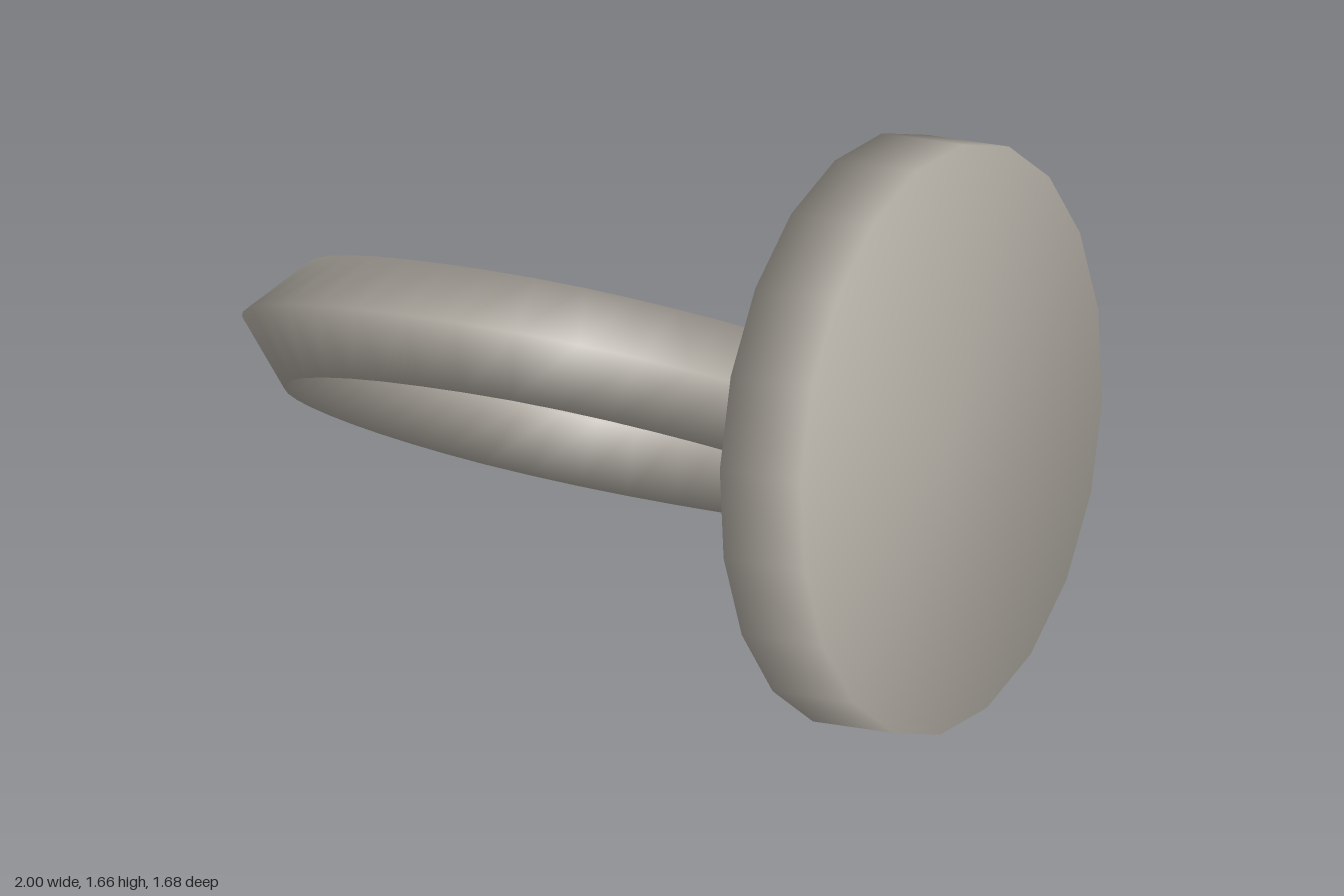
import * as THREE from 'three';
import { mergeVertices } from 'three/addons/utils/BufferGeometryUtils.js';

// Weld all shared corners and shade the surface smoothly
function smooth(geometry) {
  geometry.deleteAttribute('normal');
  geometry.deleteAttribute('uv');
  const welded = mergeVertices(geometry, 1e-4);
  welded.computeVertexNormals();
  return welded;
}

// Centre line of the band: a hand-shaped oval, counter-clockwise from the right
const bandPath = new THREE.CatmullRomCurve3([
  [0.752, 0.055], [0.66, 0.42], [0.505, 0.705], [0.322, 0.885], [0.119, 0.958],
  [-0.184, 0.915], [-0.406, 0.78], [-0.588, 0.561], [-0.719, 0.242], [-0.755, -0.106],
  [-0.699, -0.453], [-0.568, -0.718], [-0.366, -0.888], [-0.133, -0.961], [0.119, -0.961],
  [0.372, -0.9], [0.543, -0.763], [0.687, -0.569], [0.767, -0.257],
].map(([x, y]) => new THREE.Vector3(x, y, 0)), true);

// Four-sided torus reshaped to follow the centre line
function bandGeometry() {
  const geo = new THREE.TorusGeometry(1, 0.137, 4, 44);
  const pos = geo.attributes.position;
  for (let i = 0; i < pos.count; i++) {
    const x = pos.getX(i), y = pos.getY(i);
    const turn = (Math.atan2(y, x) / (2 * Math.PI) + 1) % 1;
    const offset = Math.hypot(x, y) - 1;
    const p = bandPath.getPointAt(turn);
    const t = bandPath.getTangentAt(turn);
    pos.setXYZ(i, p.x + t.y * offset, p.y - t.x * offset, pos.getZ(i) * 1.13);
  }
  return smooth(geo);
}

export function createModel() {
  const model = new THREE.Group();
  model.name = 'signetRing';
  const metal = new THREE.MeshStandardMaterial({ color: 0xb0aba2 });
  metal.name = 'warmGreyMetal';

  // Band, lying in a tilted plane
  const band = new THREE.Mesh(bandGeometry(), metal);
  band.name = 'band';
  const up = new THREE.Vector3(0, 0.65, 0.76).normalize();
  const side = new THREE.Vector3(1, 0.099, -0.085).normalize();
  const normal = new THREE.Vector3().crossVectors(side, up).normalize();
  band.quaternion.setFromRotationMatrix(new THREE.Matrix4().makeBasis(side, up, normal));
  band.position.set(-0.118, 0.745, 0);
  model.add(band);

  // Round face plate, leaning back ten degrees
  const plate = new THREE.Mesh(
    smooth(new THREE.CylinderGeometry(0.742, 0.742, 0.232, 20, 1, false, THREE.MathUtils.degToRad(-94))),
    metal
  );
  plate.name = 'facePlate';
  plate.rotation.z = THREE.MathUtils.degToRad(-80);
  plate.position.set(0.756, 0.902, 0);
  model.add(plate);

  return model;
}
